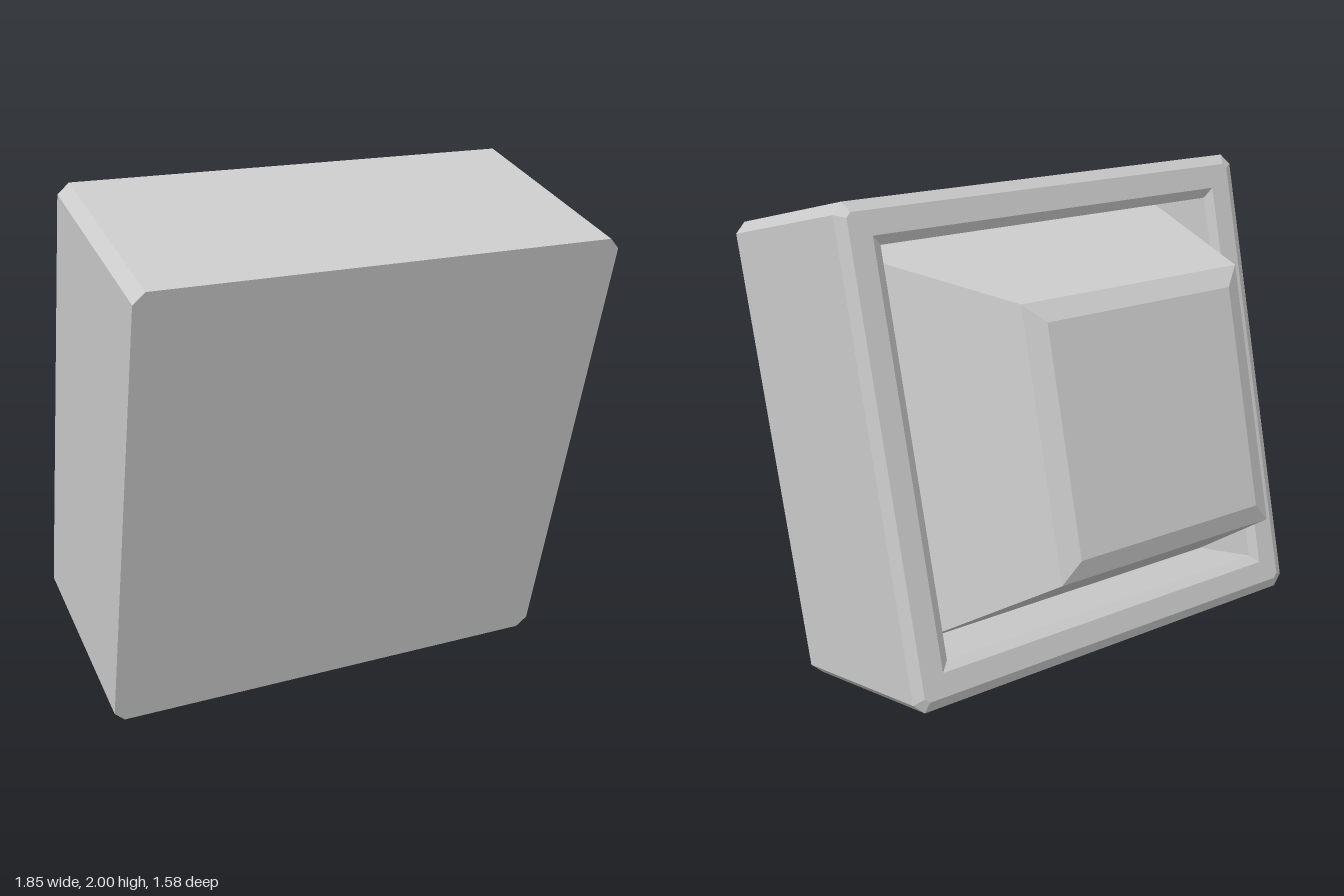
import * as THREE from 'three';

const material = new THREE.MeshStandardMaterial({ color: 0xcccccc, flatShading: true });

// Square ring with cut corners, counterclockwise, at a depth behind the front face
function ring([half, cut, depth]) {
  const h = half, k = half - cut;
  return [[h, -k], [h, k], [k, h], [-k, h], [-h, k], [-h, -k], [-k, -h], [k, -h]]
    .map(([x, y]) => new THREE.Vector3(x, y, -depth));
}

// Skin over successive rings, with an optional cap on the first or last ring
function loft(name, sections, capStart, capEnd) {
  const rings = sections.map(ring);
  const points = [];
  const tri = (a, b, c) => {
    if (new THREE.Triangle(a, b, c).getArea() > 1e-7) points.push(a, b, c);
  };
  for (let s = 0; s < rings.length - 1; s++) {
    const p = rings[s], q = rings[s + 1];
    for (let i = 0; i < 8; i++) {
      const j = (i + 1) % 8;
      tri(p[i], q[i], q[j]);
      tri(p[i], q[j], p[j]);
    }
  }
  const last = rings[rings.length - 1];
  for (let i = 1; i < 7; i++) {
    if (capStart) tri(rings[0][0], rings[0][i], rings[0][i + 1]);
    if (capEnd) tri(last[0], last[i + 1], last[i]);
  }
  const geometry = new THREE.BufferGeometry().setFromPoints(points);
  geometry.computeVertexNormals();
  const mesh = new THREE.Mesh(geometry, material);
  mesh.name = name;
  return mesh;
}

export function createModel() {
  const model = new THREE.Group();
  model.name = 'tiltedBox';

  // Box shell: flat front, bevelled back rim, then the inner wall of the opening
  const housing = loft('housing', [
    [0.925, 0.042, 0],
    [0.925, 0.042, 0.84],
    [0.885, 0.018, 0.862],
    [0.795, 0, 0.862],
    [0.76, 0, 0.842],
    [0.76, 0, 0.53],
  ], true, false);

  // Tapered block rising out of the opening, with a bevelled end
  const block = loft('taperedBack', [
    [0.76, 0, 0.53],
    [0.495, 0, 1.265],
    [0.42, 0, 1.297],
  ], false, true);

  // Lean the whole box forward so it rests on its lower front edge
  const body = new THREE.Group();
  body.name = 'body';
  body.add(housing, block);
  body.rotation.x = THREE.MathUtils.degToRad(14);
  body.position.set(0, 0.898, 0.569);
  model.add(body);
  return model;
}
